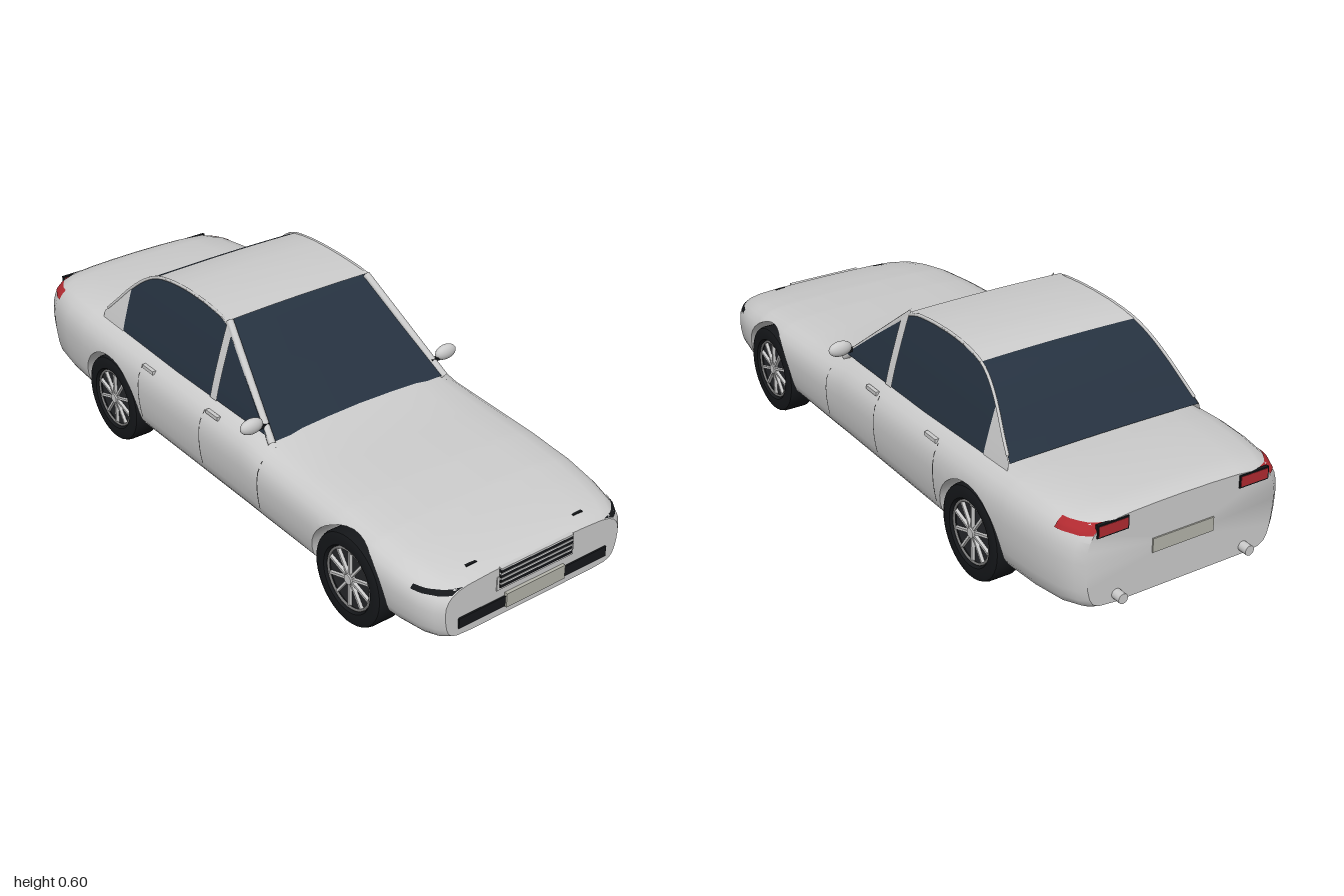
import * as THREE from 'three';
import { toCreasedNormals } from 'three/addons/utils/BufferGeometryUtils.js';

const GREY = 0xcccccc, GLASS = 0x263240, BLACK = 0x15171a, RED = 0xb02a30, PLATE = 0xb4b4aa, LIGHT = 0xeeeeee;
const AXLES = [0.665, -0.525], ARCH = 0.155, HUB_Y = 0.14;

// body stations: z, half width, bottom y, top y
const STATIONS = [
  [0.99, 0.31, 0.106, 0.263], [0.97, 0.332, 0.102, 0.273], [0.93, 0.352, 0.1, 0.285], [0.85, 0.368, 0.1, 0.302],
  [0.75, 0.377, 0.1, 0.318], [0.6, 0.38, 0.1, 0.332], [0.45, 0.38, 0.1, 0.34], [0.27, 0.38, 0.1, 0.35],
  [0.18, 0.38, 0.1, 0.372], [-0.2, 0.38, 0.1, 0.38], [-0.6, 0.38, 0.1, 0.39], [-0.7, 0.378, 0.1, 0.394],
  [-0.8, 0.371, 0.1, 0.393], [-0.9, 0.355, 0.104, 0.388], [-0.95, 0.332, 0.109, 0.381], [-0.97, 0.308, 0.114, 0.372],
];
// half cross-section: height fraction, width fraction
const PROFILE = [
  [0, 0.7], [0.02, 0.86], [0.06, 0.92], [0.13, 0.955], [0.24, 0.978], [0.4, 0.994], [0.55, 1], [0.68, 0.994],
  [0.78, 0.97], [0.86, 0.93], [0.92, 0.87], [0.96, 0.77], [0.985, 0.55], [0.995, 0.3], [1, 0],
];
// cabin outline: z, y
const CABIN = [
  [0.255, 0.345], [0.1, 0.468], [-0.04, 0.582], [-0.1, 0.59], [-0.16, 0.595], [-0.23, 0.597], [-0.3, 0.595], [-0.36, 0.588],
  [-0.41, 0.577], [-0.45, 0.559], [-0.49, 0.532], [-0.54, 0.487], [-0.59, 0.434], [-0.635, 0.39],
];

function lookup(table, v, col) {
  const dir = table[0][0] < table[1][0] ? 1 : -1;
  let i = 0;
  while (i < table.length - 2 && (v - table[i + 1][0]) * dir > 0) i++;
  const a = table[i], b = table[i + 1];
  const t = THREE.MathUtils.clamp((v - a[0]) / (b[0] - a[0]), 0, 1);
  return a[col] + (b[col] - a[col]) * t;
}

// body half width at a given length and height
function bodyX(z, y) {
  const yb = lookup(STATIONS, z, 2), yt = lookup(STATIONS, z, 3);
  return lookup(STATIONS, z, 1) * lookup(PROFILE, (y - yb) / (yt - yb), 1);
}
const cabinY = z => lookup(CABIN, z, 1);
const cabinX = y => 0.325 - 0.075 * Math.pow((Math.max(y, 0.35) - 0.35) / 0.25, 1.15);
const range = (a, b, n) => Array.from({ length: n + 1 }, (_, i) => a + (b - a) * i / n);

function mesh(name, geometry, color, parent, x = 0, y = 0, z = 0) {
  const m = new THREE.Mesh(geometry, new THREE.MeshStandardMaterial({ color }));
  m.name = name;
  m.position.set(x, y, z);
  parent.add(m);
  return m;
}
const box = (name, w, h, d, color, parent, x, y, z) =>
  mesh(name, new THREE.BoxGeometry(w, h, d), color, parent, x, y, z);

// smooth open surface through rows of points
function sheet(name, rows, color, parent) {
  const n = rows[0].length, index = [];
  for (let i = 0; i < rows.length - 1; i++)
    for (let j = 0; j < n - 1; j++) {
      const a = i * n + j, c = a + n;
      index.push(a, c, a + 1, a + 1, c, c + 1);
    }
  const g = new THREE.BufferGeometry();
  g.setAttribute('position', new THREE.Float32BufferAttribute(rows.flat(2), 3));
  g.setIndex(index);
  g.computeVertexNormals();
  const m = mesh(name, g, color, parent);
  m.material.side = THREE.DoubleSide;
  return m;
}

// strip lying on the body flank
const flank = (name, s, z0, z1, y0, y1, color, parent, lift = 0.003) =>
  sheet(name, range(z0, z1, 8).map(z => range(y0, y1, 6).map(y => [s * (bodyX(z, y) + lift), y, z])), color, parent);

// panel on the cabin side, from the belt up to the roof line
const cabinSide = (name, s, z0, z1, color, parent, lift = 0) =>
  sheet(name, range(z0, z1, 16).map(z => range(Math.min(0.36, cabinY(z)), cabinY(z), 6).map(y => [s * (cabinX(y) + lift), y, z])), color, parent);

// panel across the cabin top, bowed slightly upward
const cabinTop = (name, z0, z1, color, parent, lift = 0, edge = 0) =>
  sheet(name, range(z0, z1, 16).map(z => range(-1, 1, 10).map(u =>
    [u * (cabinX(cabinY(z)) + edge), cabinY(z) + lift + 0.004 * (1 - u * u), z])), color, parent);

// body shell lofted along z, with the wheel wells pressed into it
function bodyGeometry() {
  const zs = STATIONS.map(s => s[0]);
  for (const c of AXLES) {
    for (const a of range(0, Math.PI, 20)) zs.push(c + ARCH * 0.9999 * Math.cos(a));
    zs.push(c + ARCH + 0.001, c - ARCH - 0.001);
  }
  zs.sort((a, b) => b - a);
  const pos = [], index = [];
  let n = 0;
  for (const z of zs) {
    const w = lookup(STATIONS, z, 1), yb = lookup(STATIONS, z, 2), yt = lookup(STATIONS, z, 3);
    let ya = yb;
    for (const c of AXLES)
      if (Math.abs(z - c) < ARCH) ya = HUB_Y + Math.sqrt(ARCH ** 2 - (z - c) ** 2);
    const inner = Math.min(0.25, 0.69 * w), fa = (ya - yb) / (yt - yb);
    const half = [[0, yb], [inner, yb], [inner, ya]];
    for (const [f] of PROFILE) {
      const h = Math.max(f, fa);
      half.push([w * lookup(PROFILE, h, 1), yb + (yt - yb) * h]);
    }
    const ring = half.concat(half.slice(1, -1).reverse().map(([x, y]) => [-x, y]));
    n = ring.length;
    for (const [x, y] of ring) pos.push(x, y, z);
  }
  const last = (zs.length - 1) * n, centre = zs.length * n;
  pos.push(0, 0.19, zs[0], 0, 0.24, zs[zs.length - 1]);
  for (let j = 0; j < n; j++) {
    const k = (j + 1) % n;
    for (let i = 0; i < last; i += n) index.push(i + j, i + n + j, i + k, i + k, i + n + j, i + n + k);
    index.push(centre, j, k, centre + 1, last + k, last + j);
  }
  const g = new THREE.BufferGeometry();
  g.setAttribute('position', new THREE.Float32BufferAttribute(pos, 3));
  g.setIndex(index);
  return toCreasedNormals(g, 0.7);
}

function addWheel(parent, s, z) {
  const wheel = new THREE.Group();
  wheel.name = 'wheel';
  wheel.position.set(s * 0.328, HUB_Y, z);
  wheel.rotation.y = s > 0 ? 0 : Math.PI;
  parent.add(wheel);
  const tyre = [[0.092, -0.03], [0.1, -0.045], [0.125, -0.047], [0.136, -0.042], [0.14, -0.032], [0.14, 0.032],
    [0.136, 0.042], [0.125, 0.047], [0.1, 0.045], [0.092, 0.03], [0.092, -0.03]].map(p => new THREE.Vector2(...p));
  mesh('tyre', toCreasedNormals(new THREE.LatheGeometry(tyre, 40), 0.6), BLACK, wheel).rotation.z = -Math.PI / 2;
  mesh('wheelDisc', new THREE.CylinderGeometry(0.094, 0.094, 0.055, 32), 0x25272a, wheel).rotation.z = -Math.PI / 2;
  mesh('rim', new THREE.TorusGeometry(0.09, 0.004, 8, 40), 0x777777, wheel, 0.036).rotation.y = Math.PI / 2;
  mesh('hub', new THREE.CylinderGeometry(0.015, 0.018, 0.016, 16), GREY, wheel, 0.034).rotation.z = -Math.PI / 2;
  for (let i = 0; i < 10; i++) {
    const a = i * Math.PI / 5;
    box('spoke', 0.01, 0.08, 0.007, GREY, wheel, 0.033, 0.05 * Math.cos(a), 0.05 * Math.sin(a)).rotation.x = a;
  }
}

export function createModel() {
  const car = new THREE.Group();
  car.name = 'car';
  mesh('body', bodyGeometry(), GREY, car);
  box('floor', 0.49, 0.025, 1.48, BLACK, car, 0, 0.0955, 0.07);

  // cabin top
  cabinTop('windscreen', 0.255, -0.05, GLASS, car);
  cabinTop('roof', -0.04, -0.41, GREY, car, 0.002, 0.004);
  cabinTop('rearWindow', -0.4, -0.635, GLASS, car);

  for (const s of [1, -1]) {
    // cabin sides and pillars
    cabinSide('frontSideWindow', s, 0.24, -0.01, GLASS, car);
    cabinSide('rearSideWindow', s, -0.03, -0.525, GLASS, car);
    cabinSide('middlePillar', s, -0.005, -0.037, GREY, car, 0.004);
    cabinSide('rearPillar', s, -0.52, -0.635, GREY, car, 0.002);
    const pillar = new THREE.LineCurve3(new THREE.Vector3(s * 0.317, 0.34, 0.255), new THREE.Vector3(s * 0.249, 0.582, -0.04));
    mesh('frontPillar', new THREE.TubeGeometry(pillar, 1, 0.012, 8), GREY, car);
    const rail = new THREE.CatmullRomCurve3(range(-0.03, -0.62, 14).map(z =>
      new THREE.Vector3(s * cabinX(cabinY(z)), cabinY(z), z)));
    mesh('roofRail', new THREE.TubeGeometry(rail, 28, 0.005, 6), GREY, car);

    // mirrors
    mesh('mirror', new THREE.SphereGeometry(1, 20, 12), GREY, car, s * 0.356, 0.392, 0.212).scale.set(0.038, 0.024, 0.018);
    box('mirrorStalk', 0.045, 0.01, 0.014, BLACK, car, s * 0.322, 0.38, 0.212);

    // door seams and handles
    for (const z of [0.27, -0.02, -0.35]) flank('doorSeam', s, z, z - 0.004, 0.155, 0.335, 0x333333, car, 0.0015);
    for (const z of [0.02, -0.315]) box('doorHandle', 0.012, 0.012, 0.058, LIGHT, car, s * (bodyX(z, 0.337) + 0.003), 0.337, z);

    // lights
    flank('headlight', s, 0.988, 0.9, 0.244, 0.256, BLACK, car);
    flank('tailLightWrap', s, -0.88, -0.97, 0.335, 0.362, RED, car);
    box('tailLight', 0.09, 0.03, 0.012, RED, car, s * 0.23, 0.344, -0.969);
    box('tailLightTrim', 0.098, 0.038, 0.01, BLACK, car, s * 0.23, 0.344, -0.969);
    box('washer', 0.035, 0.004, 0.008, BLACK, car, s * 0.19, 0.277, 0.945);

    mesh('exhaust', new THREE.CylinderGeometry(0.015, 0.015, 0.08, 16), GREY, car, s * 0.21, 0.138, -0.96).rotation.x = Math.PI / 2;
    for (const z of AXLES) addWheel(car, s, z);
  }

  // nose details
  box('grilleFrame', 0.274, 0.042, 0.01, LIGHT, car, 0, 0.214, 0.988);
  for (let i = 0; i < 4; i++) {
    box('grilleSlot', 0.258, 0.011, 0.014, BLACK, car, 0, 0.207 + i * 0.0155, 0.99);
    box('grilleBar', 0.258, 0.005, 0.017, LIGHT, car, 0, 0.2152 + i * 0.0155, 0.99);
  }
  box('lowerIntake', 0.53, 0.032, 0.014, BLACK, car, 0, 0.148, 0.988);
  box('frontPlate', 0.21, 0.044, 0.02, PLATE, car, 0, 0.152, 0.99);
  box('rearPlate', 0.2, 0.042, 0.012, PLATE, car, 0, 0.245, -0.968);
  return car;
}
